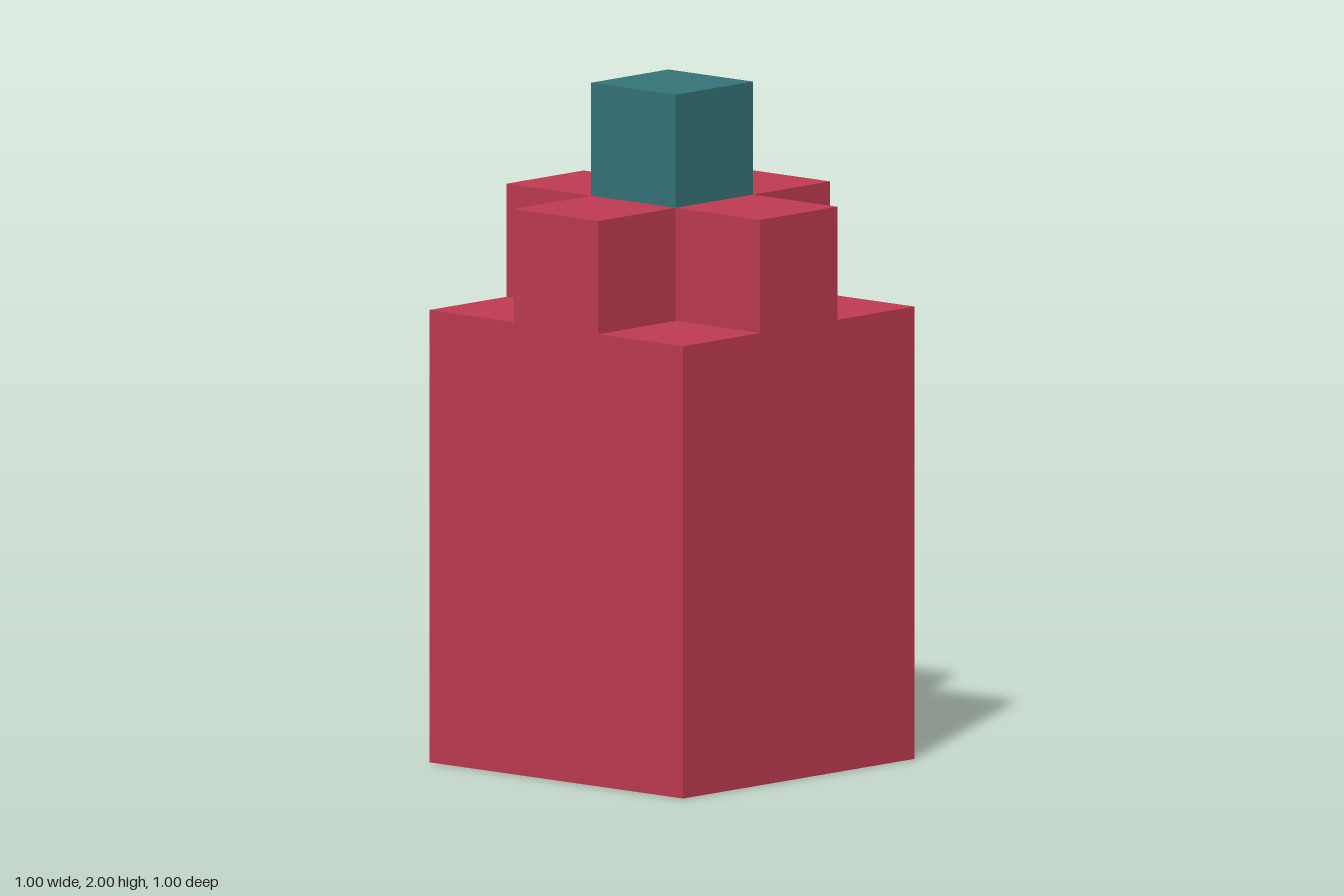
import * as THREE from 'three';

const U = 1 / 3; // one block

export function createModel() {
  const model = new THREE.Group();
  model.name = 'blockTower';
  const red = new THREE.MeshStandardMaterial({ color: 0xc23b52 });
  red.name = 'crimson';
  const teal = new THREE.MeshStandardMaterial({ color: 0x35757a });
  teal.name = 'teal';

  const add = (name, geometry, material, y) => {
    const mesh = new THREE.Mesh(geometry, material);
    mesh.name = name;
    mesh.position.y = y;
    model.add(mesh);
  };

  // Square body, four blocks high
  add('body', new THREE.BoxGeometry(3 * U, 4 * U, 3 * U), red, 2 * U);

  // Plus-shaped tier: one arm outline turned four times, with open corners
  const a = U / 2, b = 1.5 * U;
  const outline = [];
  for (let i = 0; i < 4; i++) {
    for (const [x, y] of [[b, -a], [b, a], [a, a]]) {
      outline.push(new THREE.Vector2(x, y).rotateAround(new THREE.Vector2(), i * Math.PI / 2));
    }
  }
  const cross = new THREE.ExtrudeGeometry(new THREE.Shape(outline), { depth: U, bevelEnabled: false });
  cross.rotateX(-Math.PI / 2);
  add('crossTier', cross, red, 4 * U);

  // Cube on top
  add('topCube', new THREE.BoxGeometry(U, U, U), teal, 5.5 * U);

  return model;
}
